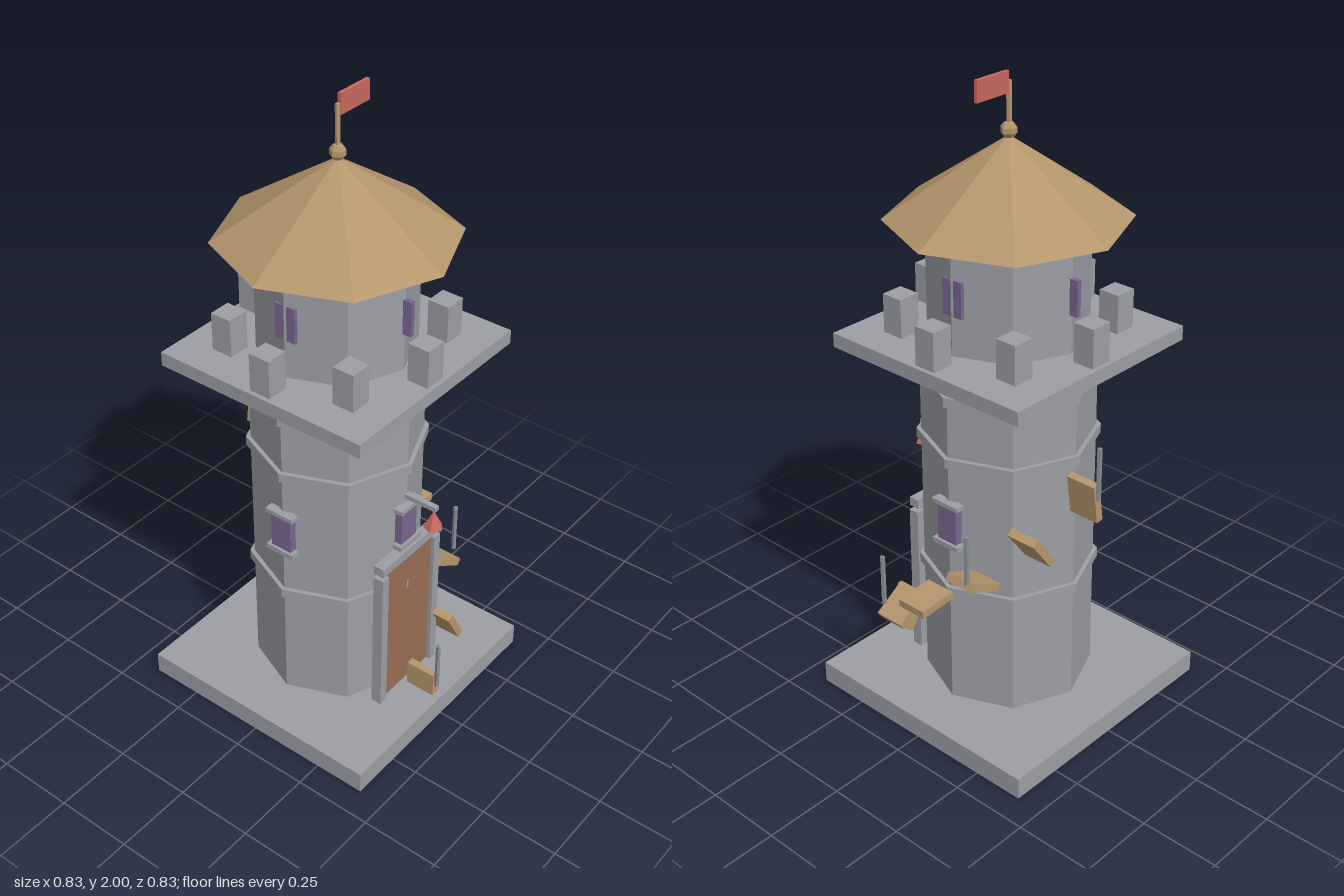
import * as THREE from 'three';

const mat = (name, color) => {
  const m = new THREE.MeshStandardMaterial({ color, flatShading: true });
  m.name = name;
  return m;
};

export function createModel() {
  const stone = mat('stone grey', 0x9c9ea5);
  const iron = mat('iron grey', 0x868b92);
  const straw = mat('straw brown', 0xb5966c);
  const doorWood = mat('door brown', 0x9a6e55);
  const purple = mat('window purple', 0x7b668f);
  const red = mat('flag red', 0xc8685e);

  const model = new THREE.Group();
  model.name = 'watchtower';

  const add = (name, geo, material, x, y, z, parent = model) => {
    const mesh = new THREE.Mesh(geo, material);
    mesh.name = name;
    mesh.position.set(x, y, z);
    parent.add(mesh);
    return mesh;
  };
  const box = (name, material, w, h, d, x, y, z, parent) =>
    add(name, new THREE.BoxGeometry(w, h, d), material, x, y, z, parent);
  // Upright prism from y0 to y1
  const prism = (name, material, r, y0, y1, sides = 8, x = 0, z = 0, parent = model) =>
    add(name, new THREE.CylinderGeometry(r, r, y1 - y0, sides), material, x, (y0 + y1) / 2, z, parent);

  // Base, octagonal shaft and its raised bands
  box('base', stone, 0.83, 0.07, 0.83, 0, 0.035, 0);
  prism('shaft', stone, 0.26, 0.07, 1.19);
  for (const y of [0.465, 0.905, 1.103]) prism('band', stone, 0.274, y - 0.015, y + 0.015);

  // Platform with battlements
  box('platform', stone, 0.713, 0.045, 0.713, 0, 1.2125, 0);
  for (let i = 0; i < 8; i++) {
    const a = (i * Math.PI) / 4;
    box('merlon', stone, 0.07, 0.12, 0.07, Math.sin(a) * 0.308, 1.295, Math.cos(a) * 0.308);
  }

  // Upper room with slit windows, all lying along z
  prism('upperRoom', stone, 0.235, 1.235, 1.58);
  for (let i = 0; i < 4; i++) {
    const a = (i * Math.PI) / 2;
    box('slitWindow', purple, 0.015, 0.11, 0.07, Math.sin(a) * 0.225, 1.41, Math.cos(a) * 0.225);
  }

  // Roof, finial, pole and flag
  add('roof', new THREE.ConeGeometry(0.356, 0.24, 8), straw, 0, 1.7, 0);
  add('finial', new THREE.SphereGeometry(0.025, 6, 5), straw, 0, 1.834, 0);
  prism('flagPole', straw, 0.008, 1.82, 1.972, 5);
  box('flag', red, 0.124, 0.062, 0.011, 0.068, 1.969, 0);

  // Framed windows on the front and both sides
  for (const a of [0, Math.PI / 2, -Math.PI / 2]) {
    const win = new THREE.Group();
    win.name = 'window';
    win.rotation.y = a;
    model.add(win);
    box('windowPane', purple, 0.072, 0.13, 0.025, 0, 0.7, 0.2575, win);
    box('windowLintel', stone, 0.1, 0.014, 0.03, 0, 0.768, 0.264, win);
    box('windowSill', stone, 0.1, 0.016, 0.03, 0, 0.632, 0.264, win);
  }

  // Door and frame
  box('door', doorWood, 0.232, 0.5, 0.03, 0, 0.32, 0.257);
  for (const s of [-1, 1]) box('doorJamb', stone, 0.03, 0.505, 0.035, s * 0.13, 0.3225, 0.2675);
  box('doorLintel', stone, 0.285, 0.03, 0.035, 0, 0.604, 0.2675);

  // Hanging lamp over the door
  box('lampBracket', stone, 0.018, 0.015, 0.115, 0, 0.802, 0.31);
  add('lampShade', new THREE.ConeGeometry(0.031, 0.06, 5), red, 0, 0.76, 0.357);

  // Winding steps that twist as they climb, with a post on every other one
  for (let i = 0; i < 7; i++) {
    const a = i * 0.5;
    const y = 0.09 + i * 0.123;
    const s = Math.sin(a), c = Math.cos(a);
    const step = box('step', straw, 0.125, 0.025, 0.1, s * 0.34, y, c * 0.34);
    step.rotation.z = a - Math.PI / 2;
    if (i % 2 === 0) prism('stepPost', iron, 0.008, y + 0.018, y + 0.186, 5, s * 0.396, c * 0.396);
  }
  return model;
}
